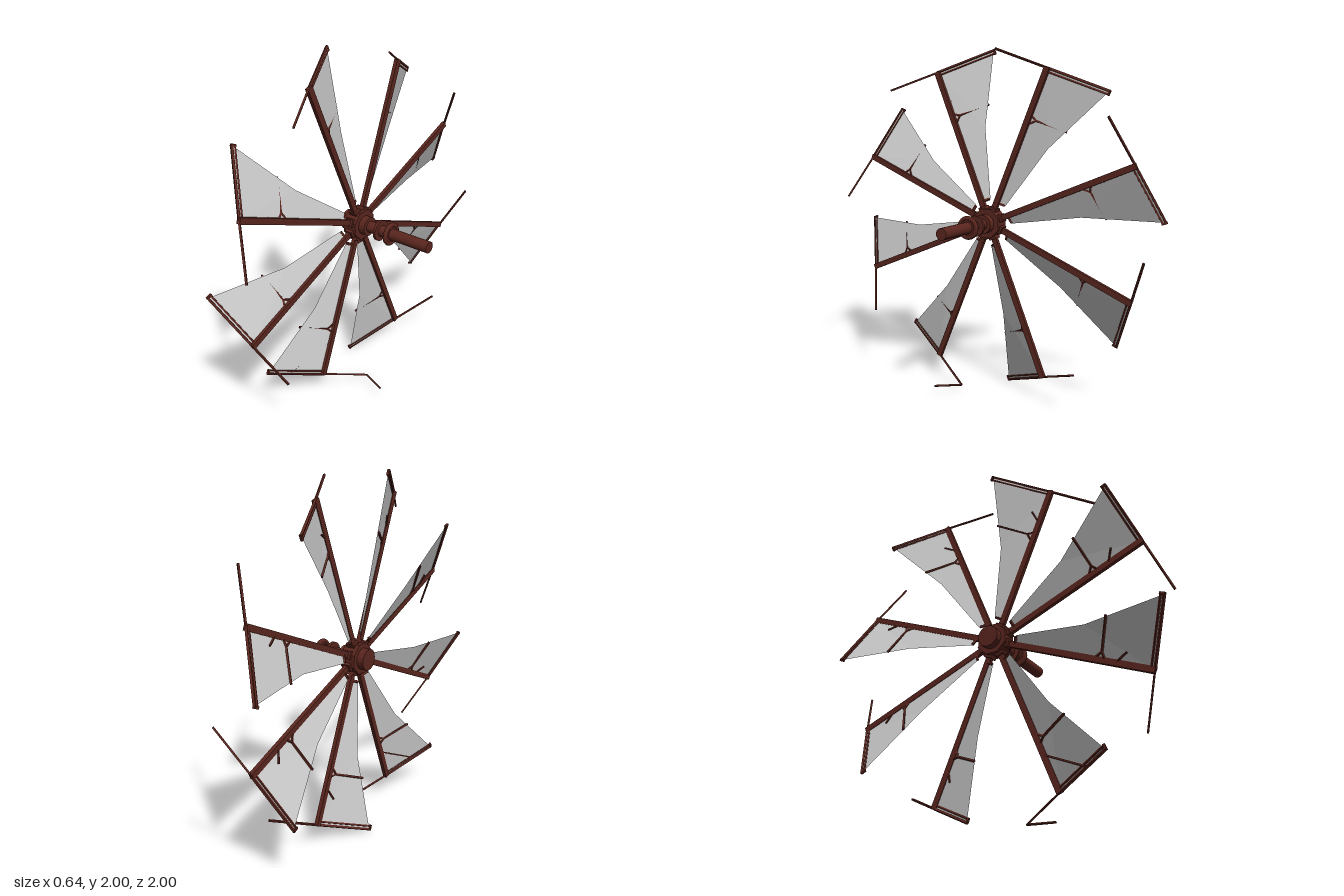
import * as THREE from 'three';

const brown = new THREE.MeshStandardMaterial({ color: 0x5a261e, flatShading: true });
const brownSmooth = new THREE.MeshStandardMaterial({ color: 0x5a261e });
const cloth = new THREE.MeshStandardMaterial({ color: 0xcccccc, side: THREE.DoubleSide, flatShading: true });

const HUB_X = -0.165;

// Blade space: x along the axle, r outward along the arm, t across the sail
const P = (x, r, t) => new THREE.Vector3(x, r, -t);

// Square bar between two points
function bar(name, a, b, w, d = w) {
  const dir = b.clone().sub(a);
  const mesh = new THREE.Mesh(new THREE.BoxGeometry(d, dir.length(), w), brown);
  mesh.position.copy(a).add(b).multiplyScalar(0.5);
  mesh.quaternion.setFromUnitVectors(new THREE.Vector3(0, 1, 0), dir.normalize());
  mesh.name = name;
  return mesh;
}

// Cylinder lying along x between x0 and x1
function disc(name, x0, x1, radius, sides, mat = brown, turn = 0) {
  const geo = new THREE.CylinderGeometry(radius, radius, x1 - x0, sides);
  geo.rotateY(turn);
  geo.rotateZ(-Math.PI / 2);
  const mesh = new THREE.Mesh(geo, mat);
  mesh.position.x = (x0 + x1) / 2;
  mesh.name = name;
  return mesh;
}

// Twisted cloth strip widening from the hub to the tip
function sail() {
  const rows = [[0.13, 0.05, -0.02], [0.53, 0.15, -0.06], [0.93, 0.32, -0.143]]; // r, t, x
  const pos = [], index = [];
  rows.forEach(([r, t, x], i) => {
    pos.push(...P(0, r, 0).toArray(), ...P(x, r, t).toArray());
    if (i) {
      const k = i * 2;
      index.push(k - 2, k - 1, k, k - 1, k + 1, k);
    }
  });
  const geo = new THREE.BufferGeometry();
  geo.setAttribute('position', new THREE.Float32BufferAttribute(pos, 3));
  geo.setIndex(index);
  geo.computeVertexNormals();
  const mesh = new THREE.Mesh(geo, cloth);
  mesh.name = 'sail';
  return mesh;
}

function blade(isLongBrace) {
  const g = new THREE.Group();
  g.name = 'blade';
  g.add(bar('arm', P(0, 0.05, 0), P(0, 0.94, 0), 0.033, 0.022));
  g.add(bar('armSocket', P(0, 0.03, 0), P(0, 0.1, 0), 0.045, 0.05));
  g.add(sail());
  // Double tip spar, closed by a cap at its end
  g.add(bar('outerTipSpar', P(0, 0.936, 0), P(-0.148, 0.936, 0.327), 0.012));
  g.add(bar('innerTipSpar', P(0, 0.917, 0), P(-0.148, 0.917, 0.327), 0.009));
  g.add(bar('tipCap', P(-0.146, 0.911, 0.324), P(-0.146, 0.942, 0.324), 0.012));
  // Counter spar on the other side of the arm
  g.add(bar('counterSpar', P(0, 0.936, 0), P(0.13, 0.936, -0.27), 0.01));
  // Sail rib with its forked foot
  g.add(bar('sailRib', P(-0.015, 0.65, 0.035), P(-0.095, 0.65, 0.205), 0.01));
  g.add(bar('ribFoot', P(0, 0.605, 0), P(-0.018, 0.65, 0.04), 0.01));
  g.add(bar('ribFoot', P(0, 0.675, 0), P(-0.018, 0.65, 0.04), 0.01));
  // Diagonal brace, broken off short on most blades
  g.add(bar('diagonalBrace', P(-0.004, 0.73, 0),
    isLongBrace ? P(-0.09, 0.93, 0.19) : P(-0.03, 0.785, 0.055), 0.008));
  // Short bar holding the root of the sail
  g.add(bar('sailRootBar', P(0.005, 0.13, -0.012), P(-0.02, 0.13, 0.045), 0.012, 0.014));
  return g;
}

export function createModel() {
  const rotor = new THREE.Group();
  rotor.name = 'windmillRotor';
  rotor.position.y = 1;

  // Eight blades around the axle
  for (let k = 0; k < 8; k++) {
    const b = blade(k === 3);
    if (k === 3) b.add(bar('bentSpar', P(0.13, 0.936, -0.27), P(0.295, 0.936, -0.185), 0.009));
    b.position.x = HUB_X;
    b.rotation.x = (22.5 + 45 * k) * Math.PI / 180;
    rotor.add(b);
  }

  // Stepped hub
  rotor.add(disc('hubBody', -0.21, -0.125, 0.09, 8, brown, Math.PI / 8));
  rotor.add(disc('hubFrontPlate', -0.25, -0.2, 0.06, 16));
  rotor.add(disc('hubRearPlate', -0.13, -0.085, 0.055, 16));

  // Axle with two collars
  rotor.add(disc('axle', -0.1, 0.32, 0.033, 20, brownSmooth));
  rotor.add(disc('thinCollar', -0.018, -0.002, 0.06, 24));
  const ring = new THREE.Mesh(new THREE.TorusGeometry(0.054, 0.013, 8, 24), brownSmooth);
  ring.rotation.y = Math.PI / 2;
  ring.position.x = 0.063;
  ring.name = 'thickCollar';
  rotor.add(ring, disc('collarWeb', 0.055, 0.071, 0.055, 24));

  const model = new THREE.Group();
  model.name = 'windmillSails';
  model.add(rotor);
  return model;
}
